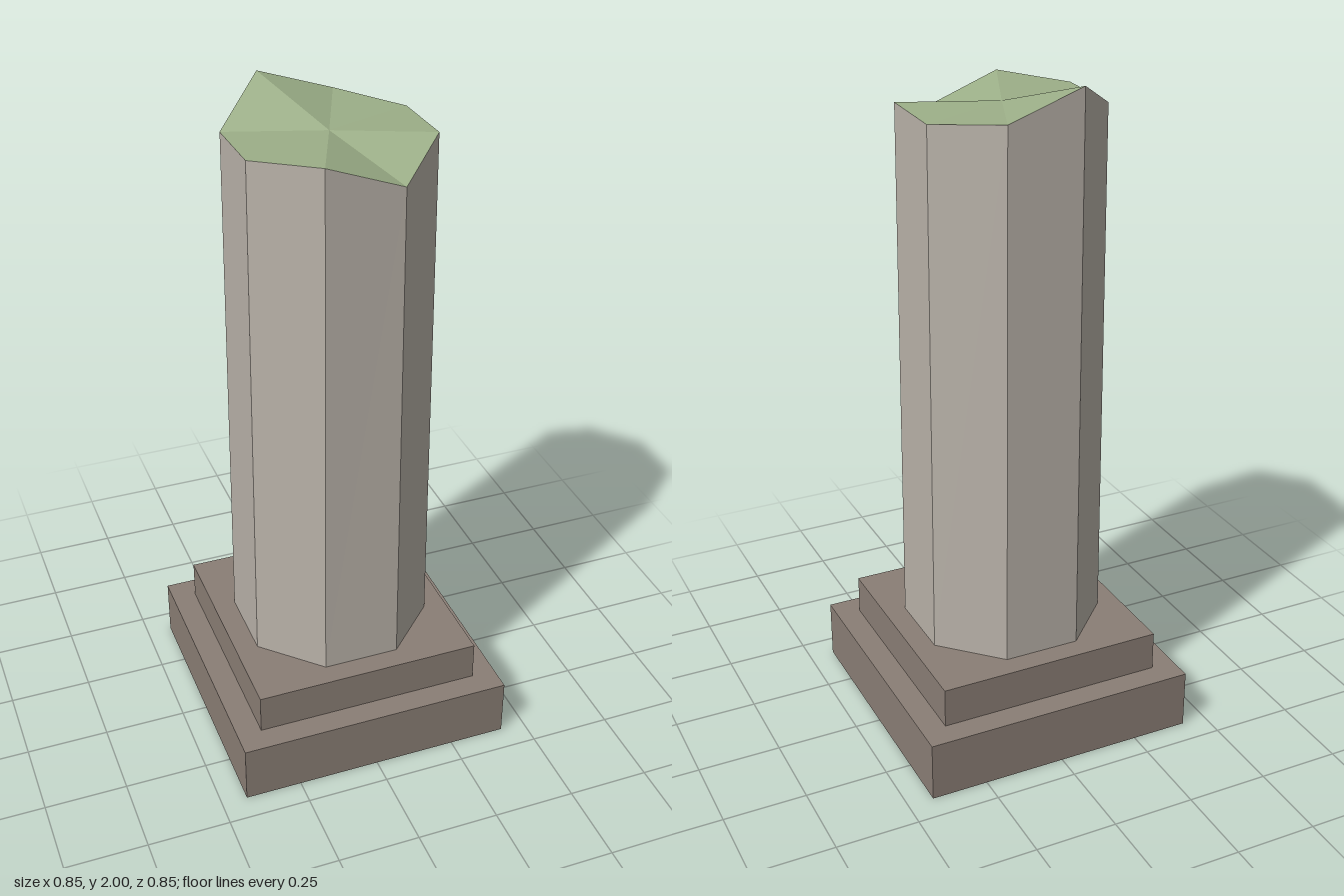
import * as THREE from 'three';

const baseStone = new THREE.MeshStandardMaterial({ color: 0x8a7e75, side: THREE.DoubleSide });
baseStone.name = 'brown base stone';
const shaftStone = new THREE.MeshStandardMaterial({ color: 0xb8b1a8, side: THREE.DoubleSide });
shaftStone.name = 'pale shaft stone';
const moss = new THREE.MeshStandardMaterial({ color: 0x9caf88, side: THREE.DoubleSide });
moss.name = 'moss green';

// Height of each corner of the broken top, going round from front left
const RIM = [1.845, 1.912, 1.904, 1.922, 2.0, 1.904, 1.912, 1.93];
const SIDES = RIM.length;
const CENTRE_Y = 1.913;
const SHAFT_Y = 0.305;
const BOTTOM_R = 0.303;
const TOP_R = 0.2925;

function facet(geometry) {
  const flat = geometry.toNonIndexed();
  flat.computeVertexNormals();
  return flat;
}

function add(group, name, geometry, material) {
  const mesh = new THREE.Mesh(geometry, material);
  mesh.name = name;
  group.add(mesh);
  return mesh;
}

// Square step with an open underside
function stepGeometry(width, y0, y1) {
  const geo = new THREE.BoxGeometry(width, y1 - y0, width);
  const index = Array.from(geo.index.array);
  index.splice(18, 6); // remove the bottom face
  geo.setIndex(index);
  geo.clearGroups();
  return geo.translate(0, (y0 + y1) / 2, 0);
}

// Tapered octagonal shaft whose top ring follows the rim heights
function shaftGeometry() {
  const geo = new THREE.CylinderGeometry(TOP_R, BOTTOM_R, 1, SIDES, 1, true, Math.PI / SIDES);
  const pos = geo.attributes.position;
  for (let i = 0; i < pos.count; i++) {
    pos.setY(i, pos.getY(i) > 0 ? RIM[i % (SIDES + 1) % SIDES] : SHAFT_Y);
  }
  return facet(geo);
}

// Fan of facets from the centre to the uneven rim
function brokenTopGeometry() {
  const points = [0, CENTRE_Y, 0];
  const index = [];
  RIM.forEach((y, i) => {
    const a = (i + 0.5) * 2 * Math.PI / SIDES;
    points.push(TOP_R * Math.sin(a), y, TOP_R * Math.cos(a));
    index.push(0, i + 1, (i + 1) % SIDES + 1);
  });
  const geo = new THREE.BufferGeometry();
  geo.setAttribute('position', new THREE.Float32BufferAttribute(points, 3));
  geo.setIndex(index);
  return facet(geo);
}

export function createModel() {
  const model = new THREE.Group();
  model.name = 'brokenColumn';
  add(model, 'lowerStep', stepGeometry(0.845, 0, 0.183), baseStone);
  add(model, 'upperStep', stepGeometry(0.696, 0.183, SHAFT_Y), baseStone);
  add(model, 'shaft', shaftGeometry(), shaftStone);
  add(model, 'mossyBrokenTop', brokenTopGeometry(), moss);
  return model;
}
